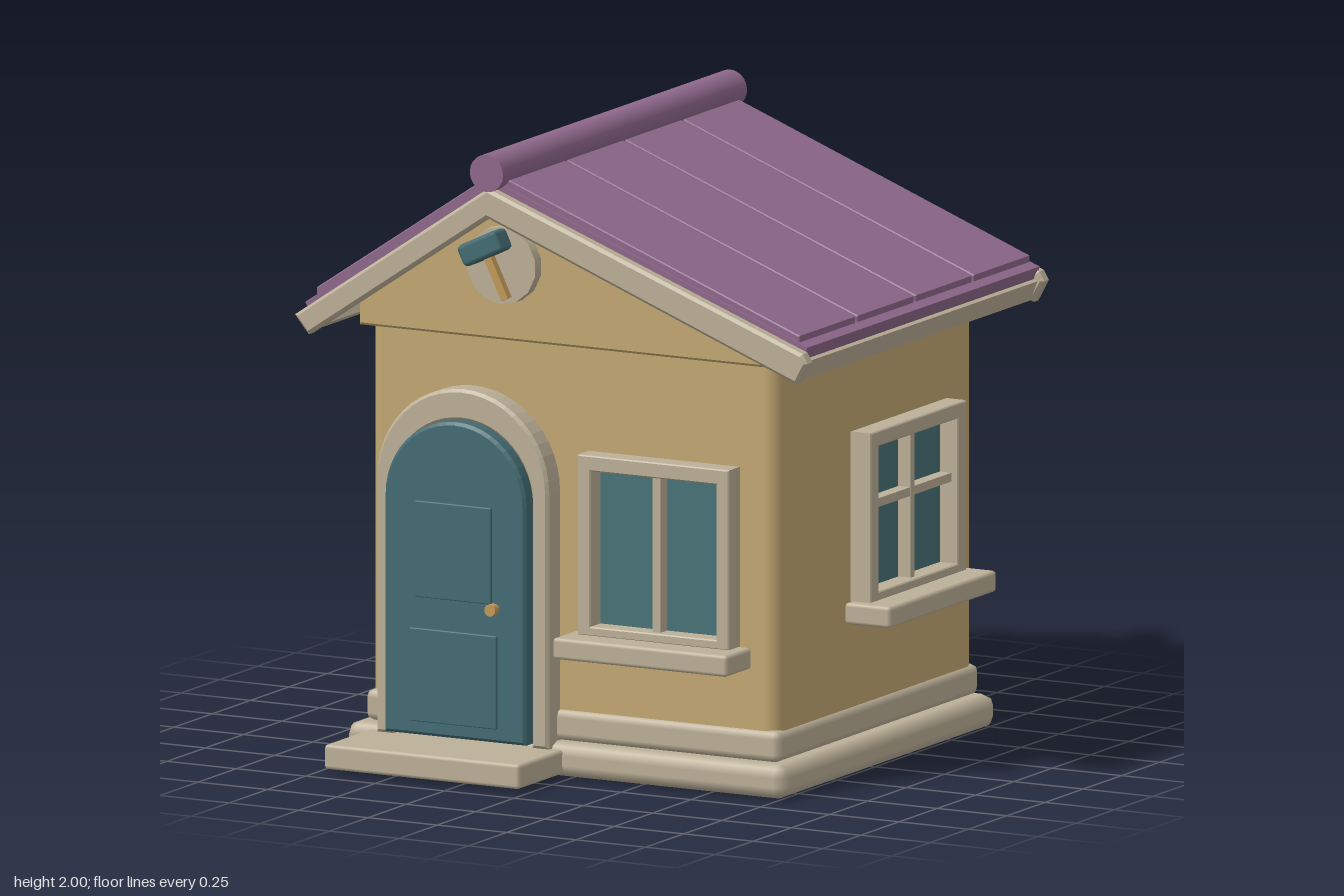
import * as THREE from 'three';
import { RoundedBoxGeometry } from 'three/addons/geometries/RoundedBoxGeometry.js';

const mat = (name, color) => {
  const m = new THREE.MeshStandardMaterial({ color });
  m.name = name;
  return m;
};

export function createModel() {
  const wall = mat('ochre wall', 0xc2a872);
  const trim = mat('beige trim', 0xbcb098);
  const roof = mat('purple roof', 0x8e688b);
  const teal = mat('teal door', 0x436b72);
  const glass = mat('teal glass', 0x487277);
  const brass = mat('brass', 0xc39c58);
  const house = new THREE.Group();
  house.name = 'house';

  const add = (parent, name, geo, material) => {
    const mesh = new THREE.Mesh(geo, material);
    mesh.name = name;
    parent.add(mesh);
    return mesh;
  };
  // Box given by its limits, with softened edges
  const block = (parent, name, [x0, x1], [y0, y1], [z0, z1], r, material, segments = 1) => {
    const geo = r
      ? new RoundedBoxGeometry(x1 - x0, y1 - y0, z1 - z0, segments, r)
      : new THREE.BoxGeometry(x1 - x0, y1 - y0, z1 - z0);
    geo.translate((x0 + x1) / 2, (y0 + y1) / 2, (z0 + z1) / 2);
    return add(parent, name, geo, material);
  };
  // Outline in x and y, extruded from z0 to z1, bevel kept inside the outline
  const prism = (parent, name, outline, z0, z1, material, bevel = 0) => {
    const shape = Array.isArray(outline)
      ? new THREE.Shape(outline.map(([x, y]) => new THREE.Vector2(x, y)))
      : outline;
    const geo = new THREE.ExtrudeGeometry(shape, {
      depth: z1 - z0 - 2 * bevel, bevelEnabled: bevel > 0, bevelSize: bevel,
      bevelOffset: -bevel, bevelThickness: bevel, bevelSegments: 1, curveSegments: 12,
    });
    geo.translate(0, 0, z0 + bevel);
    return add(parent, name, geo, material);
  };

  // Plinth, walls and front step
  block(house, 'lowerPlinth', [-0.81, 0.775], [0, 0.11], [-0.76, 0.64], 0.04, trim);
  block(house, 'upperPlinth', [-0.76, 0.735], [0.11, 0.21], [-0.715, 0.6], 0.025, trim);
  block(house, 'walls', [-0.75, 0.72], [0.12, 1.45], [-0.705, 0.58], 0.05, wall, 3);
  block(house, 'frontStep', [-0.73, -0.025], [0.01, 0.09], [0.5, 0.92], 0.012, trim);

  // Gable block, slightly proud of the walls
  prism(house, 'gable', [[-0.78, 1.38], [0.75, 1.38], [0.75, 1.43], [-0.245, 1.82], [-0.78, 1.46]],
    -0.725, 0.6, wall, 0.008);

  // Roof: base slab, four raised boards per slope, ridge roll
  const ridgeX = -0.245;
  prism(house, 'roofSlab', [[-0.92, 1.457], [-0.905, 1.42], [ridgeX, 1.85], [0.875, 1.44],
    [0.888, 1.48], [ridgeX, 1.91]], -0.826, 0.694, roof);
  const seams = [-0.83, -0.45, -0.07, 0.31, 0.69];
  for (let i = 0; i < 4; i++) {
    const z0 = seams[i] + 0.006, z1 = seams[i + 1] - 0.006;
    prism(house, 'leftRoofBoard', [[-0.885, 1.47], [ridgeX, 1.9], [ridgeX, 1.935], [-0.885, 1.505]],
      z0, z1, roof, 0.004);
    prism(house, 'rightRoofBoard', [[0.855, 1.48], [0.855, 1.513], [ridgeX, 1.935], [ridgeX, 1.9]],
      z0, z1, roof, 0.004);
  }
  const ridge = add(house, 'ridgeRoll', new THREE.CylinderGeometry(0.06, 0.06, 1.595, 20), roof);
  ridge.rotation.x = Math.PI / 2;
  ridge.position.set(ridgeX, 1.94, -0.0625);

  // Gable boards at both ends and fascia boards under the eaves
  for (const [z0, z1] of [[0.685, 0.735], [-0.86, -0.81]]) {
    prism(house, 'gableBoard', [[-0.94, 1.42], [-0.89, 1.36], [ridgeX, 1.795], [0.87, 1.365],
      [0.908, 1.435], [0.89, 1.465], [ridgeX, 1.89]], z0, z1, trim, 0.01);
  }
  prism(house, 'rightFascia', [[0.83, 1.385], [0.865, 1.372], [0.888, 1.435], [0.845, 1.455]],
    -0.82, 0.69, trim);
  prism(house, 'leftFascia', [[-0.915, 1.425], [-0.88, 1.372], [-0.85, 1.392], [-0.88, 1.445]],
    -0.82, 0.69, trim);

  // Arched doorway
  const doorX = -0.375;
  const surround = new THREE.Shape();
  surround.moveTo(doorX - 0.31, 0.09);
  surround.lineTo(doorX - 0.31, 0.91);
  surround.absarc(doorX, 0.91, 0.31, Math.PI, 0, true);
  surround.lineTo(doorX + 0.31, 0.09);
  surround.lineTo(doorX + 0.25, 0.09);
  surround.lineTo(doorX + 0.25, 0.87);
  surround.absarc(doorX, 0.87, 0.25, 0, Math.PI, false);
  surround.lineTo(doorX - 0.25, 0.09);
  prism(house, 'doorSurround', surround, 0.56, 0.66, trim, 0.01);

  const leaf = new THREE.Shape();
  leaf.moveTo(doorX - 0.254, 0.105);
  leaf.lineTo(doorX + 0.254, 0.105);
  leaf.lineTo(doorX + 0.254, 0.868);
  leaf.absarc(doorX, 0.868, 0.254, 0, Math.PI, false);
  prism(house, 'door', leaf, 0.56, 0.707, teal, 0.01);
  block(house, 'upperDoorPanel', [-0.515, -0.24], [0.55, 0.86], [0.7, 0.716], 0.004, teal);
  block(house, 'lowerDoorPanel', [-0.535, -0.22], [0.15, 0.45], [0.7, 0.716], 0.004, teal);
  const knob = add(house, 'doorKnob', new THREE.CylinderGeometry(0.02, 0.02, 0.025, 10), brass);
  knob.rotation.x = Math.PI / 2;
  knob.position.set(-0.222, 0.54, 0.743);
  const stem = add(house, 'knobStem', new THREE.CylinderGeometry(0.009, 0.009, 0.035, 8), brass);
  stem.rotation.x = Math.PI / 2;
  stem.position.set(-0.222, 0.54, 0.72);

  // Window unit: faces +z, bottom of the frame at y = 0
  const makeWindow = (name, w, h, side, top, sillW, crossY) => {
    const g = new THREE.Group();
    g.name = name;
    const a = w / 2, b = a - side;
    const frame = new THREE.Shape([[-a, 0], [a, 0], [a, h], [-a, h]].map((p) => new THREE.Vector2(...p)));
    frame.holes.push(new THREE.Path([[-b, 0.03], [-b, h - top], [b, h - top], [b, 0.03]]
      .map((p) => new THREE.Vector2(...p))));
    prism(g, 'windowFrame', frame, 0.012, 0.088, trim, 0.004);
    block(g, 'windowGlass', [-a + 0.025, a - 0.025], [0.005, h - 0.025], [0, 0.022], 0, glass);
    block(g, 'verticalBar', [-0.014, 0.014], [0.02, h - top + 0.01], [0.015, 0.066], 0, trim);
    if (crossY) block(g, 'crossBar', [-b - 0.01, b + 0.01], [crossY - 0.014, crossY + 0.014], [0.015, 0.065], 0, trim);
    block(g, 'windowSill', [-sillW / 2, sillW / 2], [-0.067, 0.002], [0.012, 0.178], 0.012, trim);
    house.add(g);
    return g;
  };
  makeWindow('frontWindow', 0.545, 0.58, 0.046, 0.05, 0.63, 0).position.set(0.342, 0.482, 0.622);
  const sideWindow = makeWindow('sideWindow', 0.625, 0.547, 0.055, 0.05, 0.7, 0.307);
  sideWindow.position.set(0.757, 0.568, -0.113);
  sideWindow.rotation.y = Math.PI / 2;
  const backWindow = makeWindow('backWindow', 0.625, 0.56, 0.055, 0.05, 0.715, 0.312);
  backWindow.position.set(-0.012, 0.573, -0.743);
  backWindow.rotation.y = Math.PI;

  // Round gable plaque with a small mallet
  const plaque = add(house, 'plaque', new THREE.CylinderGeometry(0.125, 0.125, 0.06, 14), trim);
  plaque.rotation.x = Math.PI / 2;
  plaque.position.set(ridgeX, 1.628, 0.61);
  const mallet = new THREE.Group();
  mallet.name = 'mallet';
  mallet.position.set(-0.275, 1.693, 0.69);
  mallet.rotation.z = 0.45;
  block(mallet, 'malletHead', [-0.077, 0.077], [-0.036, 0.036], [-0.04, 0.045], 0.015, teal);
  block(mallet, 'malletHandle', [-0.013, 0.013], [-0.178, -0.02], [-0.013, 0.013], 0, brass);
  house.add(mallet);

  return house;
}
